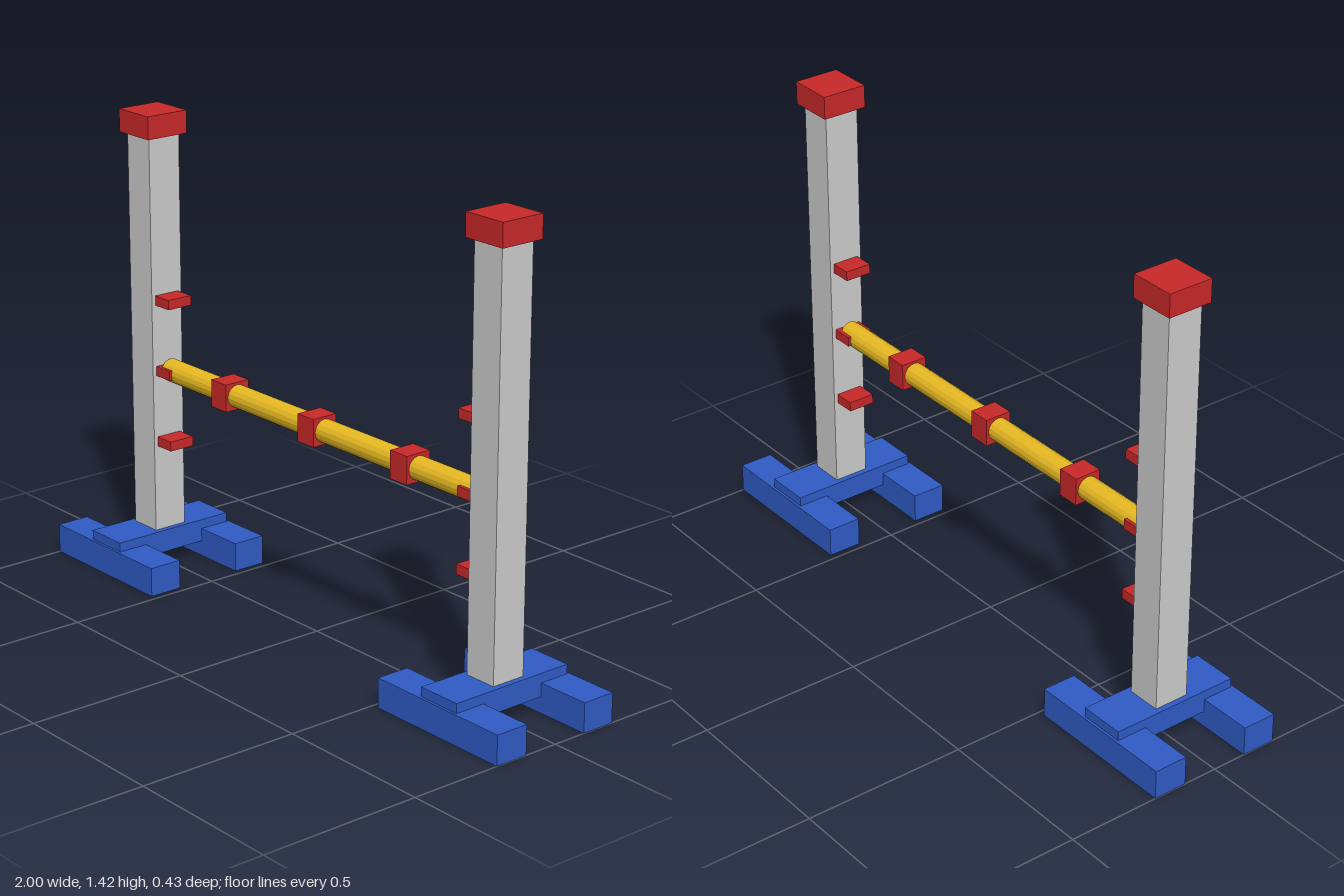
import * as THREE from 'three';

const paint = (color) => new THREE.MeshStandardMaterial({ color, flatShading: true });

export function createModel() {
  const model = new THREE.Group();
  model.name = 'jumpHurdle';
  const grey = paint(0xcccccc);
  const red = paint(0xc82828);
  const blue = paint(0x2f5bc4);
  const yellow = paint(0xe6b822);

  function box(parent, name, material, size, position) {
    const mesh = new THREE.Mesh(new THREE.BoxGeometry(...size), material);
    mesh.name = name;
    mesh.position.set(...position);
    parent.add(mesh);
  }

  // Two mirrored uprights, each on an H-shaped base
  for (const side of [-1, 1]) {
    const stand = new THREE.Group();
    stand.name = side > 0 ? 'leftStand' : 'rightStand';
    const x = side * 0.76;
    for (const z of [-0.16, 0.16]) {
      box(stand, 'foot', blue, [0.48, 0.09, 0.106], [x, 0.045, z]);
    }
    box(stand, 'baseBeam', blue, [0.142, 0.07, 0.41], [x, 0.084, 0]);
    box(stand, 'post', grey, [0.106, 1.25, 0.11], [x, 0.735, 0]);
    box(stand, 'postCap', red, [0.142, 0.07, 0.142], [x, 1.387, 0]);

    // Pegs that hold the rail at different heights
    for (const y of [0.405, 0.63, 0.852]) {
      box(stand, 'peg', red, [0.07, 0.03, 0.084], [side * 0.677, y, 0]);
    }
    model.add(stand);
  }

  // Round rail between the posts
  const rail = new THREE.Mesh(new THREE.CylinderGeometry(0.035, 0.035, 1.384, 16), yellow);
  rail.name = 'rail';
  rail.rotation.z = Math.PI / 2;
  rail.position.y = 0.63;
  model.add(rail);

  // Square bands around the rail
  for (const x of [-0.402, 0, 0.402]) {
    box(model, 'railBand', red, [0.07, 0.084, 0.084], [x, 0.63, 0]);
  }

  return model;
}
